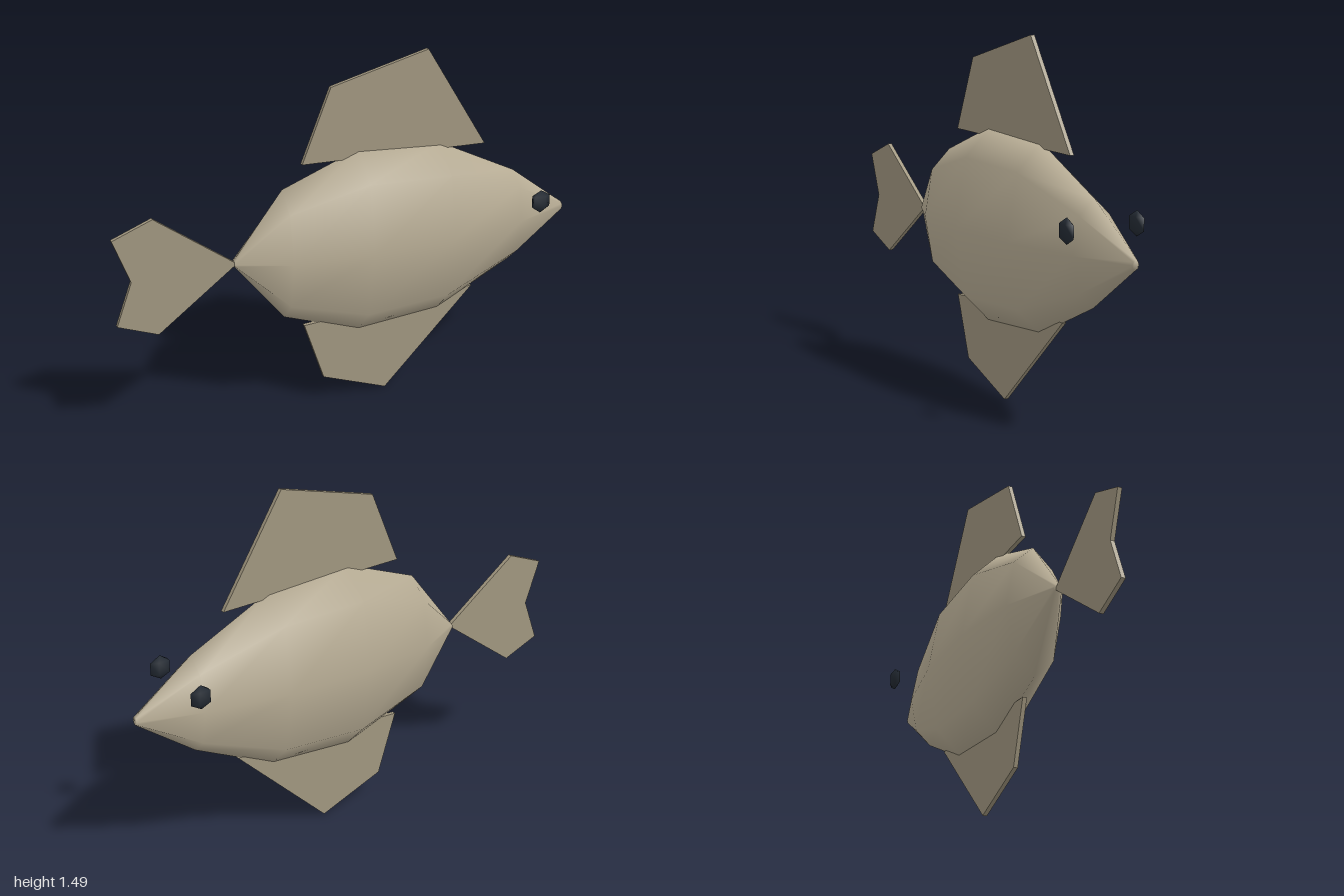
import * as THREE from 'three';

const SIDES = 8;
const MID_Y = 0.703;

// Smooth eight-sided body lofted along x from rings of [x, half height, half width]
function loftBody(rings) {
  const positions = [];
  const index = [];
  for (const [x, ry, rz] of rings) {
    for (let j = 0; j < SIDES; j++) {
      const a = (j / SIDES) * Math.PI * 2;
      positions.push(x, MID_Y + Math.cos(a) * ry, Math.sin(a) * rz);
    }
  }
  const last = rings.length - 1;
  for (let i = 0; i < last; i++) {
    for (let j = 0; j < SIDES; j++) {
      const k = (j + 1) % SIDES;
      const a = i * SIDES + j, b = i * SIDES + k;
      index.push(a, b, a + SIDES, b, b + SIDES, a + SIDES);
    }
  }
  // Flat tips at the tail root and the snout
  for (let j = 1; j < SIDES - 1; j++) {
    index.push(0, j + 1, j);
    index.push(last * SIDES, last * SIDES + j, last * SIDES + j + 1);
  }
  const geometry = new THREE.BufferGeometry();
  geometry.setAttribute('position', new THREE.Float32BufferAttribute(positions, 3));
  geometry.setIndex(index);
  geometry.computeVertexNormals();
  return geometry;
}

// Thin plate cut to an outline in the xy plane
function finPlate(outline, thickness = 0.018) {
  const shape = new THREE.Shape(outline.map(([x, y]) => new THREE.Vector2(x, y)));
  const geometry = new THREE.ExtrudeGeometry(shape, { depth: thickness, bevelEnabled: false });
  return geometry.translate(0, 0, -thickness / 2);
}

export function createModel() {
  const bodyMaterial = new THREE.MeshStandardMaterial({ name: 'sand body', color: 0xb8ad95 });
  const finMaterial = new THREE.MeshStandardMaterial({ name: 'dull sand fins', color: 0xa0967f });
  const eyeMaterial = new THREE.MeshStandardMaterial({ name: 'dark eyes', color: 0x232a33 });

  const model = new THREE.Group();
  model.name = 'fish';
  const add = (name, geometry, material) => {
    const mesh = new THREE.Mesh(geometry, material);
    mesh.name = name;
    model.add(mesh);
    return mesh;
  };

  // Body
  add('body', loftBody([
    [-0.51, 0.014, 0.02],
    [-0.3, 0.28, 0.119],
    [0.03, 0.403, 0.165],
    [0.4, 0.377, 0.157],
    [0.75, 0.205, 0.094],
    [1, 0.018, 0.015],
  ]), bodyMaterial);

  // Fins
  add('dorsalFin', finPlate([[-0.215, 1.077], [0.605, 1.05], [0.335, 1.485], [-0.09, 1.38]]), finMaterial);
  add('bellyFin', finPlate([[-0.215, 0.37], [-0.13, 0.11], [0.155, 0], [0.565, 0.405]]), finMaterial);
  add('tailFin', finPlate([
    [-0.5, 0.703], [-0.835, 0.95], [-1, 0.887], [-0.933, 0.703], [-1, 0.524], [-0.835, 0.458],
  ]), finMaterial);

  // Eyes: coarse flattened spheres on both sides
  for (const side of [1, -1]) {
    const eye = add(side > 0 ? 'frontEye' : 'backEye',
      new THREE.SphereGeometry(0.05, 5, 3).rotateY(Math.PI).scale(1, 1, 0.41), eyeMaterial);
    eye.position.set(0.8, 0.81, side * 0.157);
  }

  return model;
}
